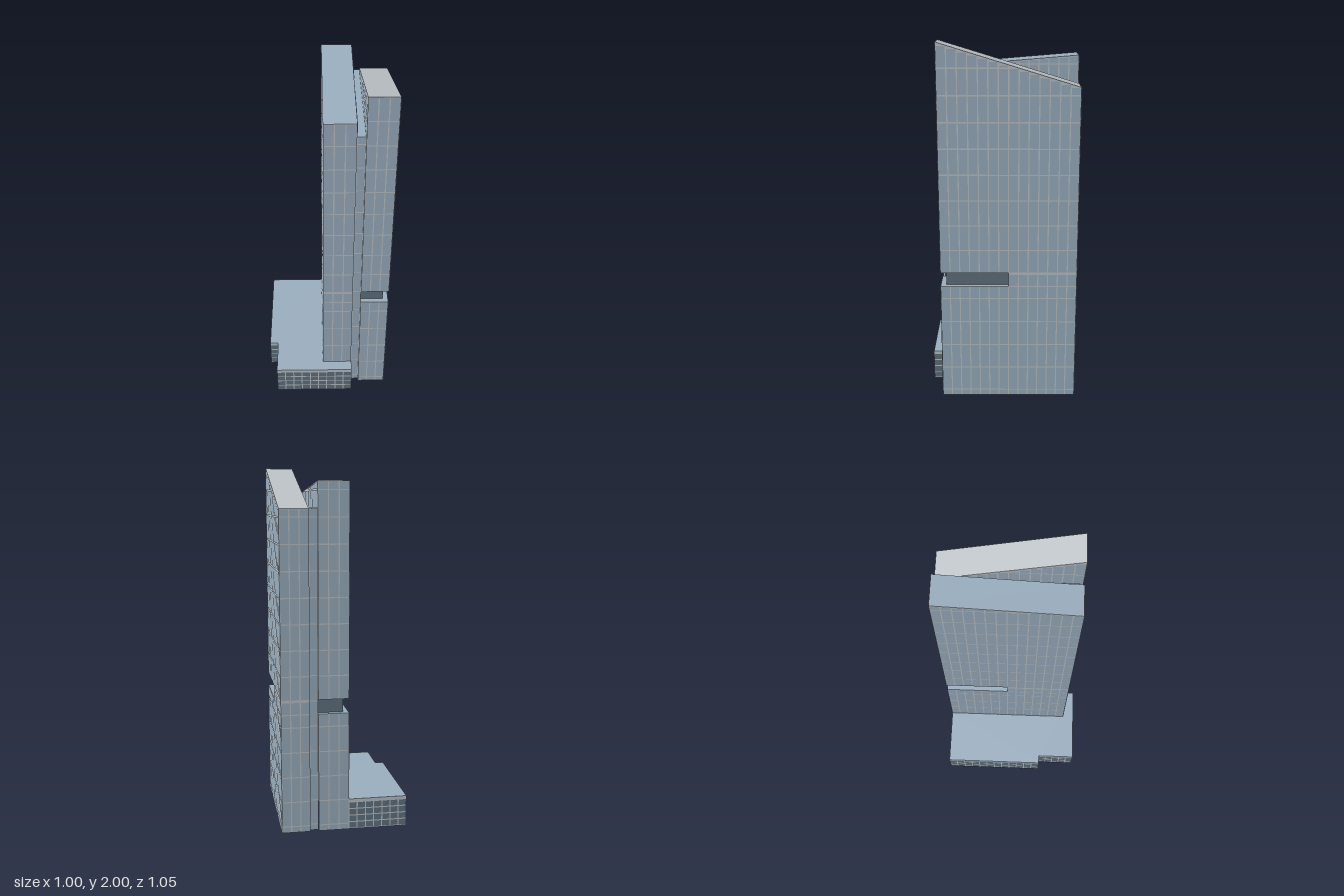
import * as THREE from 'three';
import { mergeGeometries } from 'three/addons/utils/BufferGeometryUtils.js';

const mat = (name, color, side = THREE.FrontSide) => {
  const m = new THREE.MeshStandardMaterial({ color, side });
  m.name = name;
  return m;
};

export function createModel() {
  const glass = mat('blue glass', 0x9aaebf, THREE.DoubleSide);
  const frame = mat('light grey frame', 0xbcc2c6, THREE.DoubleSide);
  const dark = mat('dark glass', 0x60717f);

  const model = new THREE.Group();
  model.name = 'officeTower';
  // The plan is turned; inside this group x runs along the slabs
  const plan = new THREE.Group();
  plan.name = 'turnedPlan';
  plan.rotation.y = -0.979;
  model.add(plan);

  const add = (name, geometry, material) => {
    const m = new THREE.Mesh(geometry, material);
    m.name = name;
    plan.add(m);
    return m;
  };

  // Box between limits, with a top that may slope along x
  const block = (name, x0, x1, z0, z1, y0, top, side = frame, roof = side, base = side) => {
    const g = new THREE.BoxGeometry(x1 - x0, 1, z1 - z0);
    g.translate((x0 + x1) / 2, 0.5, (z0 + z1) / 2);
    const p = g.attributes.position;
    for (let i = 0; i < p.count; i++) {
      p.setY(i, p.getY(i) > 0.5 ? (typeof top === 'function' ? top(p.getX(i)) : top) : y0);
    }
    g.computeVertexNormals();
    return add(name, g, [side, side, roof, base, side, side]);
  };

  // Place a mesh so its x runs from a to b and its z faces outwards
  const stand = (mesh, a, b) => {
    mesh.position.set(a[0], 0, a[1]);
    mesh.rotation.y = Math.atan2(a[1] - b[1], b[0] - a[0]);
  };

  // Grid of thin panes from a (left) to b (right), seen from outside
  const facade = (name, a, b, y0, top, cols, material = glass, pitch = 0.141, first = 0.035) => {
    const len = Math.hypot(b[0] - a[0], b[1] - a[1]);
    const gap = 0.006, w = len / cols;
    const height = (t) => (typeof top === 'function' ? top(a[0] + (b[0] - a[0]) * t) : top);
    const panes = [];
    for (let c = 0; c < cols; c++) {
      const yMax = Math.min(height(c / cols), height((c + 1) / cols));
      for (let line = first - pitch; line < yMax; line += pitch) {
        const lo = Math.max(y0, line) + gap / 2;
        const hi = Math.min(yMax, line + pitch) - gap / 2;
        if (hi - lo < 0.006) continue;
        const g = new THREE.PlaneGeometry(w - gap, hi - lo);
        panes.push(g.translate((c + 0.5) * w, (lo + hi) / 2, 0.002));
      }
    }
    if (panes.length) stand(add(name, mergeGeometries(panes), material), a, b);
  };

  const wall = (name, a, b, h) => {
    const len = Math.hypot(b[0] - a[0], b[1] - a[1]);
    stand(add(name, new THREE.PlaneGeometry(len, h).translate(len / 2, h / 2, 0), frame), a, b);
  };

  const X0 = -0.39, X1 = 0.363, MID = -0.0135;
  const S0 = 0.67, S1 = 0.75, IN = 0.03, PH = 0.175, LINK = 1.77;
  const slope = (hBack, hFront) => (x) => hBack + (hFront - hBack) * (x - X0) / (X1 - X0);

  // One tower slab: sloped roof and a recessed storey around one outer corner
  const tower = (name, z0, z1, y0, top, roof, outer, frontSlot) => {
    block(name + 'Lower', X0, X1, z0, z1, y0, S0, frame, glass, glass);
    block(name + 'Upper', X0, X1, z0, z1, S1, top, frame, roof, glass);
    const [m0, m1] = frontSlot ? [X0, MID] : [MID, X1];
    block(name + 'MiddleStorey', m0, m1, z0, z1, S0, S1);
    const [r0, r1] = frontSlot ? [MID, X1 - IN] : [X0 + IN, MID];
    block(name + 'RecessedStorey', r0, r1, outer < 0 ? z0 + IN : z0, outer > 0 ? z1 - IN : z1, S0, S1, dark);

    // Outer long face, then both ends, then the part rising over the link
    const long = (x0, x1) => (outer > 0 ? [[x0, z1], [x1, z1]] : [[x1, z0], [x0, z0]]);
    facade(name + 'LongGlassLower', ...long(X0, X1), y0, S0, 14);
    facade(name + 'LongGlassMiddle', ...long(m0, m1), S0, S1, 7);
    facade(name + 'LongGlassUpper', ...long(X0, X1), S1, top, 14);
    const ends = [[[X1, z1], [X1, z0], frontSlot], [[X0, z0], [X0, z1], !frontSlot]];
    for (const [a, b, slotted] of ends) {
      const foot = a[0] === X0 ? 0 : y0;
      facade(name + 'EndGlassLower', a, b, foot, S0, 3);
      if (!slotted) facade(name + 'EndGlassMiddle', a, b, S0, S1, 3);
      facade(name + 'EndGlassUpper', a, b, S1, top, 3);
    }
    const inner = outer > 0 ? [[X1, z0], [X0, z0]] : [[X0, z1], [X1, z1]];
    facade(name + 'InnerGlass', ...inner, LINK, top, 14);
  };

  tower('tallSlab', -0.359, -0.201, 0, slope(1.77, 2), frame, -1, true);
  tower('shortSlab', -0.154, 0.015, PH, slope(1.915, 1.853), glass, 1, false);
  wall('shortSlabFoot', [X0, -0.154], [X0, 0.015], PH);

  // Narrow link between the slabs
  block('link', X0 + 0.019, X1 - 0.017, -0.201, -0.154, 0, LINK, frame, glass, glass);
  facade('linkFrontGlass', [X1 - 0.017, -0.154], [X1 - 0.017, -0.201], 0, LINK, 1);
  facade('linkBackGlass', [X0 + 0.019, -0.201], [X0 + 0.019, -0.154], 0, LINK, 1);

  // Podium: an open shell of glazed walls under a flat roof
  const path = [[X0, 0.015], [X0, 0.344], [0.205, 0.344], [0.205, 0.295],
    [0.43, 0.295], [0.43, -0.156], [X1, -0.156]];
  for (let i = 0; i < path.length - 1; i++) {
    const [a, b] = [path[i], path[i + 1]];
    const len = Math.hypot(b[0] - a[0], b[1] - a[1]);
    wall('podiumWall', a, b, PH);
    facade('podiumGlass', a, b, 0, 0.158, Math.max(1, Math.round(len / 0.05)), dark, 0.0385, 0.004);
  }
  const outline = [...path, [X0, -0.156]].map(([x, z]) => new THREE.Vector2(x, -z));
  const roof = new THREE.ShapeGeometry(new THREE.Shape(outline));
  add('podiumRoof', roof.rotateX(-Math.PI / 2).translate(0, PH - 0.001, 0), glass);

  return model;
}
